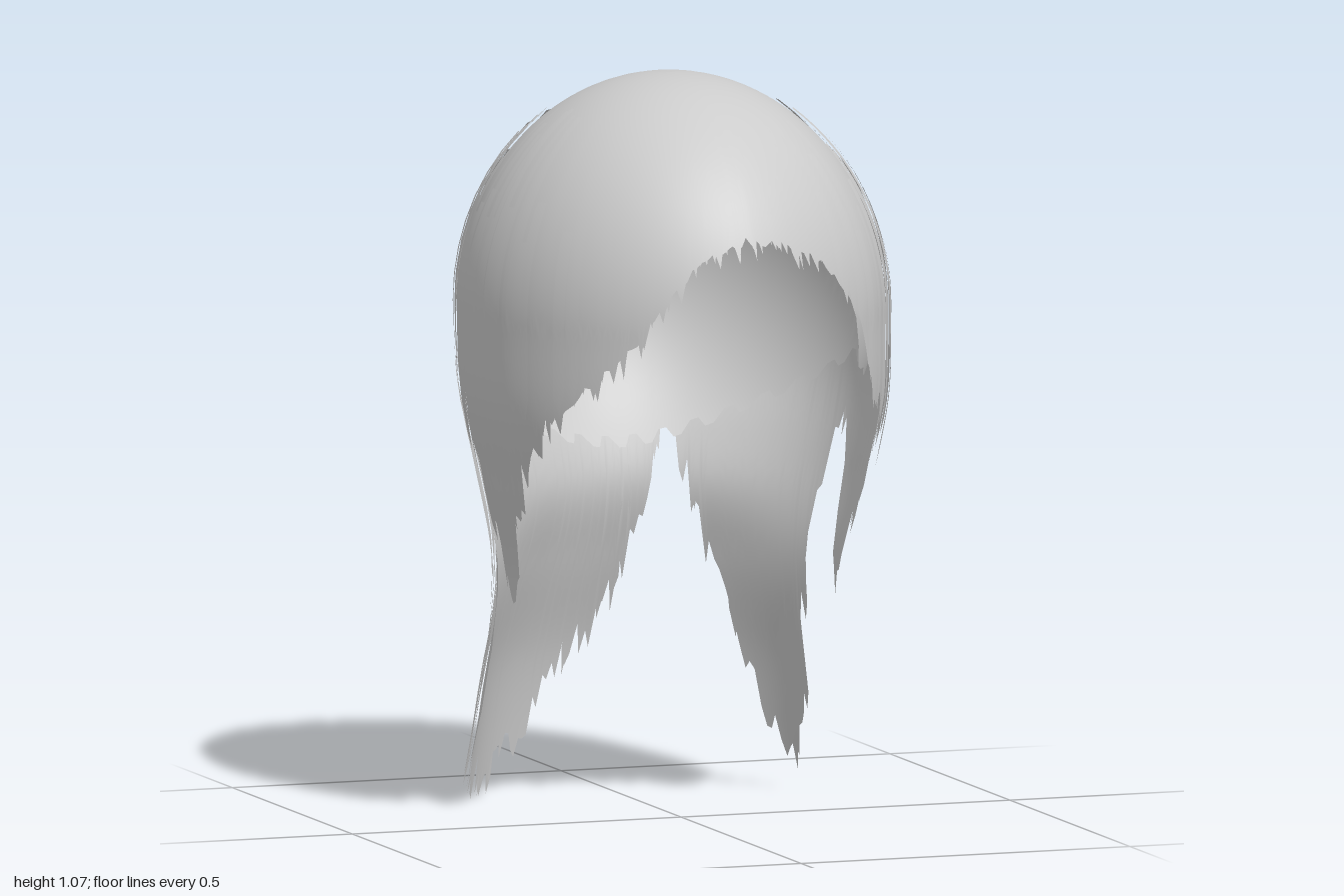
import * as THREE from 'three';
import { mergeGeometries } from 'three/addons/utils/BufferGeometryUtils.js';

const RAD = Math.PI / 180;
const MID = 1.1, RISE = 0.33; // height of the widest level, crown above it

// Small seeded random
let seed = 7;
const rnd = () => (seed = (seed * 16807) % 2147483647) / 2147483647;

// Smooth interpolation through [x, y] points sorted by x
function curve(pts) {
  const slope = i => {
    const a = pts[Math.max(0, i - 1)], b = pts[Math.min(pts.length - 1, i + 1)];
    return (b[1] - a[1]) / (b[0] - a[0]);
  };
  return x => {
    x = THREE.MathUtils.clamp(x, pts[0][0], pts[pts.length - 1][0]);
    let i = 0;
    while (i < pts.length - 2 && x > pts[i + 1][0]) i++;
    const [x0, y0] = pts[i], [x1, y1] = pts[i + 1], h = x1 - x0, t = (x - x0) / h;
    const t2 = t * t, t3 = t2 * t;
    return (2 * t3 - 3 * t2 + 1) * y0 + (t3 - 2 * t2 + t) * h * slope(i)
      + (3 * t2 - 2 * t3) * y1 + (t3 - t2) * h * slope(i + 1);
  };
}

// Width against height below the widest level: at the sides, and at the nape
const sideWidth = curve([[0.36, 1], [0.5, 0.88], [0.7, 0.83], [0.85, 0.92], [0.97, 0.99], [1.1, 1]]);
const napeWidth = curve([[0.36, 1], [0.55, 0.92], [0.7, 0.78], [0.8, 0.71], [0.88, 0.77], [1, 0.94], [1.1, 1]]);

// Height of the hair ends by angle in degrees: 0 back, 90 left (+x), 180 front
const hairEnd = curve([
  [-180, 1.23], [-163, 1.19], [-143, 1.06], [-130, 1.0], [-113, 0.9], [-100, 0.77], [-92, 0.68],
  [-82, 0.86], [-75, 0.72], [-65, 0.46], [-55, 0.4], [-40, 0.38], [-28, 0.43], [-15, 0.52], [0, 0.61],
  [10, 0.73], [20, 0.89], [30, 0.78], [40, 0.62], [52, 0.45], [62, 0.42], [72, 0.66], [80, 0.92],
  [86, 0.8], [92, 0.68], [100, 0.78], [106, 0.87], [113, 0.9], [132, 1.0], [140, 1.1], [160, 1.2], [180, 1.23],
]);

// u runs from crown (0) to the widest level (1) and on down the lengths
const toU = y => y > MID ? Math.acos((y - MID) / RISE) / (Math.PI / 2) : 1 + (MID - y) / (RISE * Math.PI / 2);

function hairPoint(deg, u, off) {
  const a = deg * RAD, c = Math.cos(a), s = Math.sin(a);
  let y, r;
  if (u < 1) {
    y = MID + (RISE + off) * Math.cos(u * Math.PI / 2);
    r = Math.sin(u * Math.PI / 2);
  } else {
    y = MID - RISE * (u - 1) * Math.PI / 2;
    const back = THREE.MathUtils.smoothstep(c, 0.1, 0.9);
    r = THREE.MathUtils.lerp(sideWidth(y), napeWidth(y), back);
  }
  const depth = c > 0 ? 0.34 : 0.36 - 0.025 * Math.max(0, s) * -c;
  return new THREE.Vector3((0.297 + off) * r * s, y, -0.04 - (depth + off) * r * c);
}

function liningPoint(deg, u, off) {
  const a = deg * RAD, r = Math.sin(u * Math.PI / 2);
  return new THREE.Vector3((0.297 + off) * r * Math.sin(a), MID + (RISE + off) * Math.cos(u * Math.PI / 2),
    -0.04 - (0.345 + off) * r * Math.cos(a));
}

// Surface through columns { deg, u0, u1, off }, with normals from the surface rule
function sheet(cols, rows, point) {
  const pos = [], nor = [], idx = [], e = 0.01;
  cols.forEach(({ deg, u0, u1, off }, i) => {
    for (let j = 0; j <= rows; j++) {
      const u = u0 + (u1 - u0) * j / rows, v = Math.max(u, 0.03);
      const da = point(deg + 1, v, off).sub(point(deg - 1, v, off));
      const du = point(deg, v + e, off).sub(point(deg, v - e, off));
      pos.push(...point(deg, u, off).toArray());
      nor.push(...da.cross(du).normalize().toArray());
      if (i < cols.length - 1 && j < rows) {
        const p = i * (rows + 1) + j, q = p + rows + 1;
        idx.push(p, q, p + 1, q, q + 1, p + 1);
      }
    }
  });
  const g = new THREE.BufferGeometry();
  g.setAttribute('position', new THREE.Float32BufferAttribute(pos, 3));
  g.setAttribute('normal', new THREE.Float32BufferAttribute(nor, 3));
  g.setIndex(idx);
  return g;
}

export function createModel() {
  seed = 7;
  const model = new THREE.Group();
  model.name = 'hair';
  const material = new THREE.MeshStandardMaterial({ color: 0xcccccc, side: THREE.DoubleSide });
  const add = (name, geometry) => {
    const mesh = new THREE.Mesh(geometry, material);
    mesh.name = name;
    model.add(mesh);
  };

  // Main hair: crown, fringe, side locks and tails, with ragged ends
  const main = [];
  for (let i = 0; i <= 240; i++) {
    const deg = -180 + i * 1.5, end = hairEnd(deg);
    const rough = end < 0.95 ? 0.07 : 0.015;
    main.push({ deg, u0: 0, u1: toU(end + (rnd() - 0.4) * rough), off: 0 });
  }
  main[240].u1 = main[0].u1;
  add('mainHair', sheet(main, 44, hairPoint));

  // Loose strands lying over the main hair, each tapering to a tip
  const strands = [];
  for (let i = 0; i < 170; i++) {
    const deg = -180 + (i + rnd()) * 360 / 170, w = 0.8 + rnd() * 1.2;
    const end = hairEnd(deg), off = 0.002 + rnd() * 0.009;
    const u1 = toU(Math.max(0.36, end - 0.03 + rnd() * (end < 0.95 ? 0.15 : 0.03)));
    const u0 = Math.min(0.35 + rnd() * 0.45, u1 - 0.1);
    strands.push(sheet([
      { deg: deg - w, u0, u1: u1 - 0.08, off },
      { deg, u0, u1, off },
      { deg: deg + w, u0, u1: u1 - 0.05, off },
    ], 18, hairPoint));
  }
  add('looseStrands', mergeGeometries(strands));

  // Rounded inner layer against the head, stepped along its lower edge
  const lining = [];
  for (let i = 0; i <= 120; i++) {
    const deg = -180 + i * 3, c = Math.max(0, Math.cos(deg * RAD));
    const low = 1.0 - 0.15 * c + (Math.floor(i / 2) % 2) * 0.015;
    const y = Math.max(low, hairEnd(deg) + (c > 0 ? -1 : 0.02));
    lining.push({ deg, u0: 0, u1: Math.acos((y - MID) / RISE) / (Math.PI / 2), off: -0.012 });
  }
  add('innerLayer', sheet(lining, 28, liningPoint));

  return model;
}
